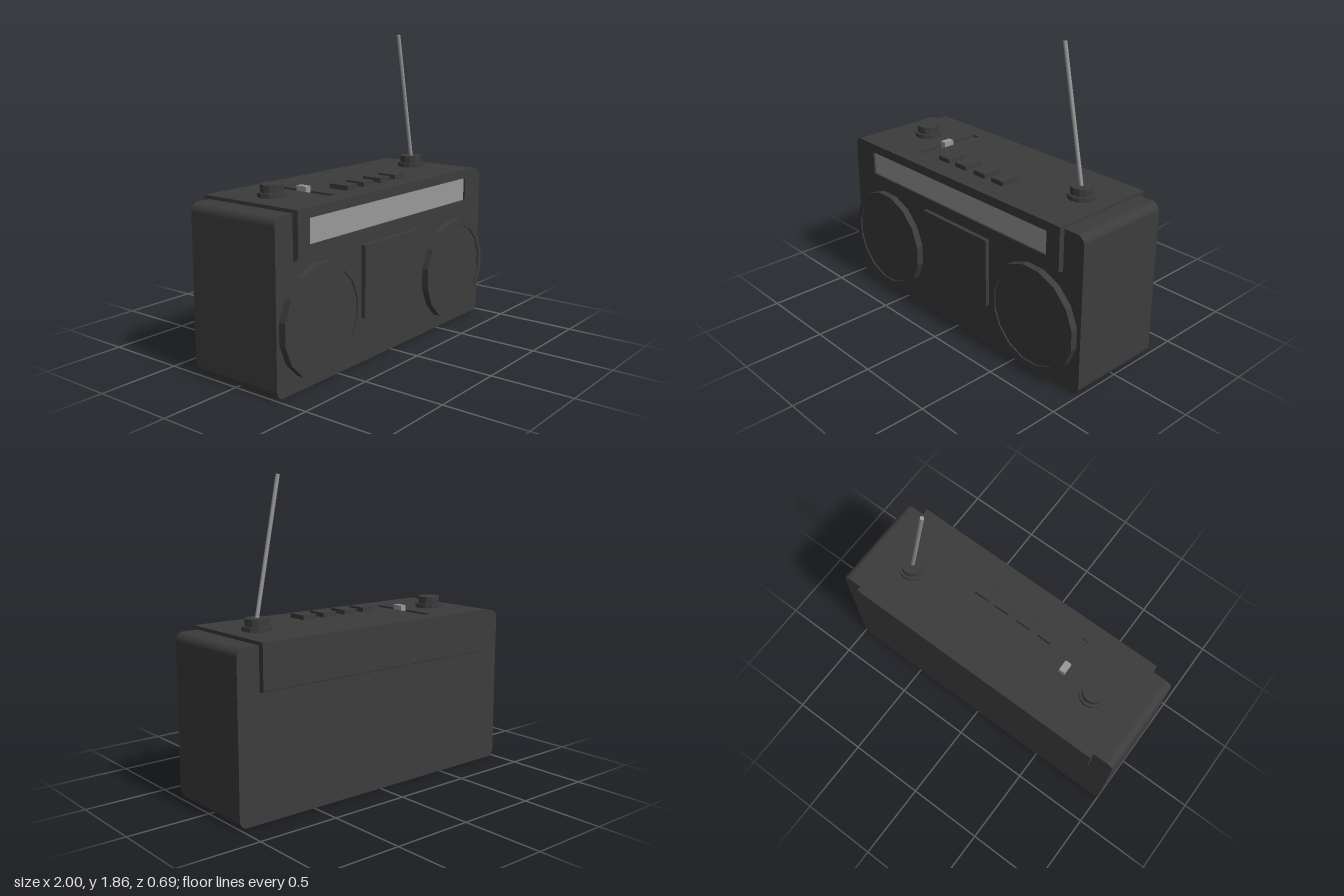
import * as THREE from 'three';

const mat = (name, color, extra) => Object.assign(new THREE.MeshStandardMaterial({ color }), { name }, extra);

export function createModel() {
  const casing = mat('charcoal casing', 0x3c3c3c);
  const metal = mat('light grey', 0x999999);
  const radio = new THREE.Group();
  radio.name = 'radio';

  const add = (name, geometry, material, x = 0, y = 0, z = 0) => {
    const mesh = new THREE.Mesh(geometry, material);
    mesh.name = name;
    mesh.position.set(x, y, z);
    radio.add(mesh);
    return mesh;
  };
  // Box given by its limits on each axis
  const block = (name, [x0, x1], [y0, y1], [z0, z1], material = casing) =>
    add(name, new THREE.BoxGeometry(x1 - x0, y1 - y0, z1 - z0), material,
      (x0 + x1) / 2, (y0 + y1) / 2, (z0 + z1) / 2);
  const rectangle = (Type, x0, x1, y0, y1) => new Type([
    new THREE.Vector2(x0, y0), new THREE.Vector2(x1, y0),
    new THREE.Vector2(x1, y1), new THREE.Vector2(x0, y1)]);
  // Plate with a rectangular opening
  const frame = (outer, inner, depth) => {
    const shape = rectangle(THREE.Shape, ...outer);
    shape.holes.push(rectangle(THREE.Path, ...inner));
    return new THREE.ExtrudeGeometry(shape, { depth, bevelEnabled: false });
  };

  // Main case, rounded only around its front outline
  const r = 0.05, top = 0.98;
  const outline = new THREE.Shape();
  outline.moveTo(-1 + r, 0).lineTo(1 - r, 0);
  outline.absarc(1 - r, r, r, -Math.PI / 2, 0);
  outline.absarc(1 - r, top - r, r, 0, Math.PI / 2);
  outline.absarc(-1 + r, top - r, r, Math.PI / 2, Math.PI);
  outline.absarc(-1 + r, r, r, Math.PI, Math.PI * 1.5);
  add('case', new THREE.ExtrudeGeometry(outline, { depth: 0.615, bevelEnabled: false, curveSegments: 5 }),
    casing, 0, 0, -0.31);

  // Upper band with sloped lower edges: profile in (-z, y), swept along x
  const bandX = [-0.865, 0.86];
  const profile = new THREE.Shape([[-0.325, 0.73], [-0.305, 0.725], [0.31, 0.725], [0.345, 0.737],
    [0.345, 0.985], [-0.325, 0.985]].reverse().map(([x, y]) => new THREE.Vector2(x, y)).reverse());
  add('upperBand', new THREE.ExtrudeGeometry(profile, { depth: bandX[1] - bandX[0], bevelEnabled: false }),
    casing, bandX[0]).rotation.y = Math.PI / 2;
  add('dialFrame', frame([...bandX, 0.735, 0.985], [-0.77, 0.765, 0.8, 0.945], 0.015), casing, 0, 0, 0.325);
  block('dialWindow', [-0.77, 0.765], [0.8, 0.945], [0.322, 0.328], metal);

  // Top plate with the slider slot
  add('topPlate', frame([...bandX, -0.34, 0.345], [-0.46, -0.415, -0.22, 0.24], 0.015),
    casing, 0, 0.985, 0).rotation.x = -Math.PI / 2;
  block('slider', [-0.457, -0.418], [0.98, 1.03], [-0.03, 0.04], metal);

  // Push buttons
  for (const x of [-0.235, -0.085, 0.08, 0.23])
    block('button', [x - 0.048, x + 0.048], [0.99, 1.028], [0.07, 0.2]);

  // Cassette door
  block('cassetteDoor', [-0.285, 0.28], [0.27, 0.7], [0.3, 0.332]);

  // Speakers: raised rim around a slightly sunken grille
  for (const x of [-0.66, 0.655]) {
    const rim = new THREE.LatheGeometry([[0.325, 0], [0.325, 0.045], [0.29, 0.045], [0.29, 0.036], [0, 0.036]]
      .map(([a, b]) => new THREE.Vector2(a, b)).reverse(), 16, Math.PI / 16).toNonIndexed();
    // Lathe runs from the centre outwards; flat normals for crisp facets
    rim.computeVertexNormals();
    const speaker = add('speaker', rim, mat_double(casing), x, 0.363, 0.303);
    speaker.rotation.x = Math.PI / 2;
  }

  // Stepped knobs
  for (const x of [-0.662, 0.678]) {
    for (const [name, radius, y] of [['knobBase', 0.085, 1.025], ['knobCap', 0.068, 1.07]]) {
      const g = new THREE.CylinderGeometry(radius, radius, y - 0.99, 12).toNonIndexed();
      g.computeVertexNormals();
      add(name, g, casing, x, (y + 0.99) / 2, -0.028);
    }
  }

  // Leaning aerial
  const from = new THREE.Vector3(0.682, 1.03, -0.025), to = new THREE.Vector3(0.52, 1.855, -0.025);
  const dir = to.clone().sub(from);
  const aerial = add('aerial', new THREE.CylinderGeometry(0.012, 0.012, dir.length(), 8), metal,
    ...from.clone().add(to).multiplyScalar(0.5).toArray());
  aerial.quaternion.setFromUnitVectors(new THREE.Vector3(0, 1, 0), dir.normalize());

  return radio;
}

// Open shells show both faces
function mat_double(material) {
  material.side = THREE.DoubleSide;
  return material;
}
